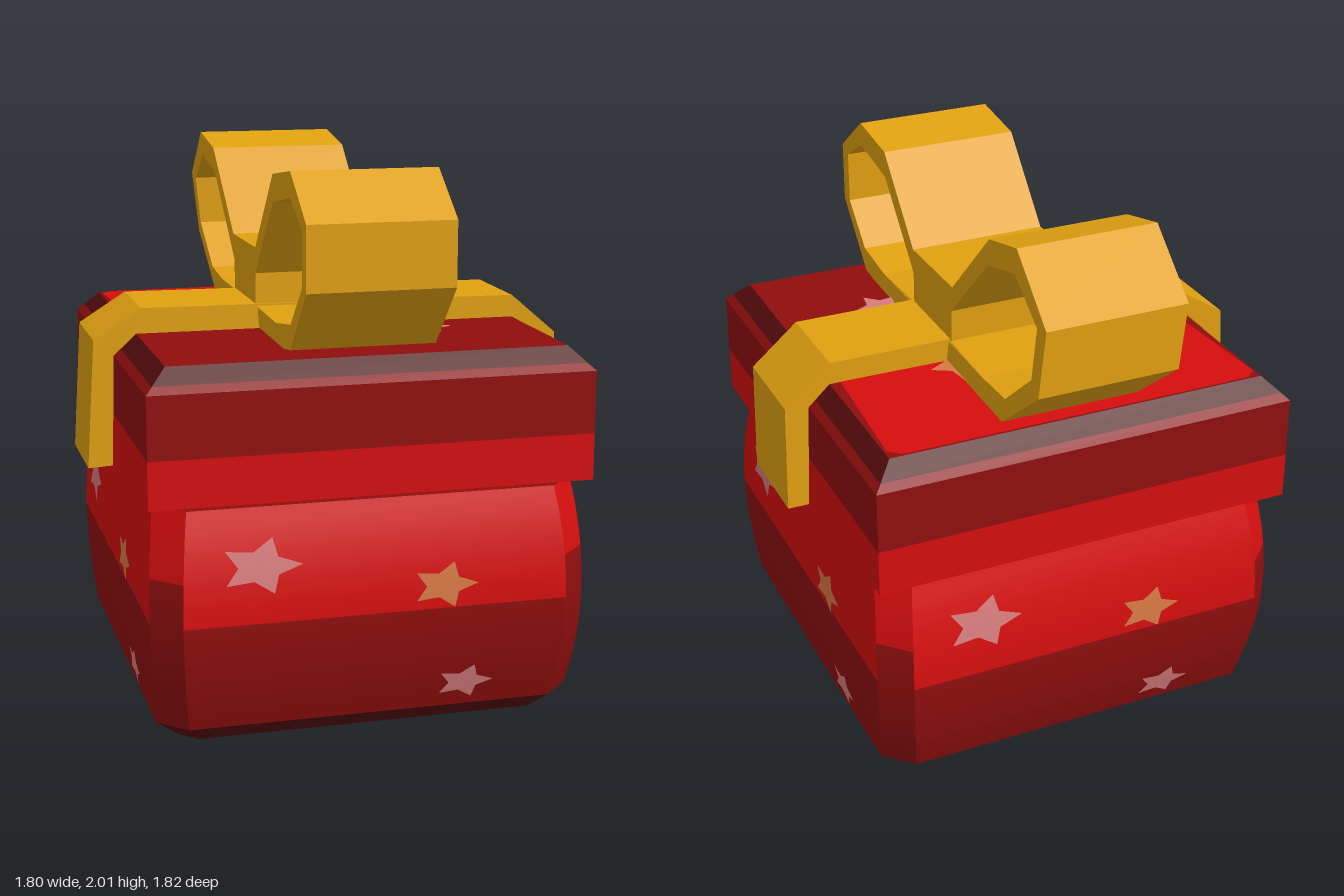
import * as THREE from 'three';
import { toCreasedNormals } from 'three/addons/utils/BufferGeometryUtils.js';

const mat = (name, color) => Object.assign(new THREE.MeshStandardMaterial({ color }), { name });

// Horizontal ring, counter-clockwise from above; cut = 0 gives a square corner.
function ring(y, hx, hz, cut) {
  const a = hx - cut, b = hz - cut;
  const pts = cut
    ? [[-a, hz], [a, hz], [hx, b], [hx, -b], [a, -hz], [-a, -hz], [-hx, -b], [-hx, b]]
    : [[-hx, hz], [hx, hz], [hx, -hz], [-hx, -hz]];
  return pts.map(([x, z]) => [x, y, z]);
}

// Closed loft through rings; pick(ringIndex, sideIndex) returns a material index.
function loft(rings, pick, bottomMat, topMat, count) {
  const lists = Array.from({ length: count }, () => []);
  const n = rings[0].length, last = rings.length - 1;
  for (let r = 0; r < last; r++) {
    for (let i = 0; i < n; i++) {
      const j = (i + 1) % n;
      const a = rings[r][i], b = rings[r][j], c = rings[r + 1][j], d = rings[r + 1][i];
      lists[pick(r, i)].push(...a, ...b, ...c, ...a, ...c, ...d);
    }
  }
  for (let i = 1; i < n - 1; i++) {
    lists[bottomMat].push(...rings[0][0], ...rings[0][i + 1], ...rings[0][i]);
    lists[topMat].push(...rings[last][0], ...rings[last][i], ...rings[last][i + 1]);
  }
  const geo = new THREE.BufferGeometry();
  geo.setAttribute('position', new THREE.Float32BufferAttribute(lists.flat(), 3));
  let start = 0;
  lists.forEach((l, k) => {
    geo.addGroup(start, l.length / 3, k);
    start += l.length / 3;
  });
  return toCreasedNormals(geo, 0.4);
}

// Apply a rule to every vertex
function warp(geo, rule) {
  const p = geo.attributes.position, v = new THREE.Vector3();
  for (let i = 0; i < p.count; i++) {
    v.fromBufferAttribute(p, i);
    rule(v);
    p.setXYZ(i, v.x, v.y, v.z);
  }
  geo.computeVertexNormals();
  return geo;
}

const toShape = (pts) => new THREE.Shape(pts.map(([x, y]) => new THREE.Vector2(x, y)));

// Five-pointed star with one point to the right
function starGeometry(u, v, ru, rv) {
  const pts = [];
  for (let k = 0; k < 10; k++) {
    const a = (k * Math.PI) / 5, s = k % 2 ? 0.52 : 1;
    pts.push([u + Math.cos(a) * ru * s, v + Math.sin(a) * rv * s]);
  }
  return new THREE.ShapeGeometry(toShape(pts));
}

export function createModel() {
  const model = new THREE.Group();
  const bright = mat('bright red', 0xd60e0e);
  const dark = mat('dark red', 0x900e0e);
  const rim = mat('deep maroon', 0x560b0d);
  const gold = mat('ribbon gold', 0xe0a010);
  const pink = mat('star pink', 0xd67b7b);
  const orange = mat('star orange', 0xd67843);
  const reds = [bright, dark, rim];
  const add = (name, geo, material, parent = model) => {
    const mesh = new THREE.Mesh(geo, material);
    mesh.name = name;
    parent.add(mesh);
    return mesh;
  };

  // Bulging box body with chamfered corners
  const bodyZ = 0.037;
  const bulge = (y) => 1 - ((y - 0.465) / 0.395) ** 2;
  const halfX = (y) => 0.763 + 0.029 * bulge(y);
  const halfZ = (y) => 0.79 + 0.075 * bulge(y);
  const levels = [0.07, 0.15, 0.23, 0.31, 0.39, 0.465, 0.54, 0.62, 0.7, 0.78, 0.86];
  const bodyRings = [ring(0, 0.675, 0.71, 0.06),
    ...levels.map((y) => ring(y, halfX(y), halfZ(y), 0.1))];
  const bodyPick = (r, i) => (r === 0 ? 2 : r >= (i % 2 ? 8 : 6) ? 0 : 1);
  add('boxBody', loft(bodyRings, bodyPick, 1, 1, 3), reds).position.z = bodyZ;

  // Lid with bevelled top edge
  const lidRings = [[0.88, 0], [1.05, 0], [1.275, 0], [1.3, 0.025], [1.355, 0.08]]
    .map(([y, inset]) => ring(y, 0.798 - inset, 0.83 - inset, 0));
  add('lid', loft(lidRings, (r) => [0, 1, 1, 2][r], 2, 1, 3), reds).position.z = 0.03;

  // Bright half panels on the lid top and the underside
  const panel = (w1, w2, z1, z2) => new THREE.ShapeGeometry(toShape([
    [-w2, -z2], [w2, -z2], [w1, -z1 - 0.04], [w1 - 0.04, -z1], [-w1 + 0.04, -z1], [-w1, -z1 - 0.04]]))
    .rotateX(-Math.PI / 2);
  add('lidPanel', panel(0.71, 0.67, -0.715, 0).translate(0, 1.358, 0), bright);
  add('basePanel', panel(0.64, 0.61, -0.64, 0.02).rotateZ(Math.PI).translate(0, -0.003, 0), bright);

  // Stars on the four sides, the lid top and the underside
  const stars = [
    [-0.42, 0.665, 0.15, 0.1, pink],
    [0.235, 0.55, 0.125, 0.085, orange],
    [0.325, 0.17, 0.11, 0.07, pink],
  ];
  for (let side = 0; side < 4; side++) {
    const group = new THREE.Group();
    group.name = 'sideStars' + (side + 1);
    group.position.z = bodyZ;
    group.rotation.y = (side * Math.PI) / 2;
    const half = side % 2 ? halfX : halfZ, stretch = side % 2 ? 1.12 : 1;
    for (const [u, v, ru, rv, m] of stars) {
      const geo = starGeometry(u * stretch, v, ru, rv);
      add('star', warp(geo, (p) => { p.z = half(p.y) + 0.007; }), m, group);
    }
    model.add(group);
  }
  for (const [u, v, ru, rv, m] of stars) {
    const flat = () => starGeometry(u, (v - 0.415) * 1.5, ru * 0.95, rv * 1.5).rotateX(-Math.PI / 2);
    add('lidStar', flat().translate(0, 1.363, 0), m);
    add('baseStar', flat().rotateZ(Math.PI).translate(0, -0.006, 0), m);
  }

  // Ribbon strap over the lid, slightly askew
  const strap = toShape([
    [-0.905, 0.865], [-0.815, 0.87], [-0.802, 1.28], [-0.72, 1.357], [0.72, 1.357], [0.802, 1.28],
    [0.82, 0.88], [0.9, 0.88], [0.89, 1.29], [0.715, 1.44], [-0.7, 1.45], [-0.875, 1.34]]);
  const strapGeo = new THREE.ExtrudeGeometry(strap, { depth: 0.365, bevelEnabled: false });
  add('ribbonStrap', warp(strapGeo, (p) => { p.z += -0.153 + 0.013 * p.x; }), gold);

  // Two-loop bow with a solid knot: profile drawn along the depth, extruded across
  const bow = toShape([
    [-0.2, 1.655], [-0.46, 1.95], [-0.7, 1.985], [-0.905, 1.83], [-0.905, 1.6], [-0.695, 1.37],
    [-0.6, 1.358], [0.65, 1.358], [0.91, 1.57], [0.91, 1.81], [0.655, 2], [0.455, 1.955], [0.165, 1.655]]);
  bow.holes.push(
    toShape([[-0.2, 1.56], [-0.46, 1.85], [-0.7, 1.895], [-0.85, 1.805], [-0.85, 1.61],
      [-0.7, 1.46], [-0.5, 1.43], [-0.2, 1.44]]),
    toShape([[0.16, 1.56], [0.455, 1.86], [0.655, 1.91], [0.845, 1.795], [0.845, 1.61],
      [0.66, 1.45], [0.455, 1.435], [0.16, 1.44]]));
  const bowGeo = new THREE.ExtrudeGeometry(bow, { depth: 0.525, bevelEnabled: false })
    .rotateY(Math.PI / 2).translate(-0.277, 0, 0);
  add('bow', warp(bowGeo, (p) => {
    p.x += p.z < 0 ? -0.12 * p.z * (1.7 - p.y) : 0.015 * p.z;
  }), gold);

  return model;
}
